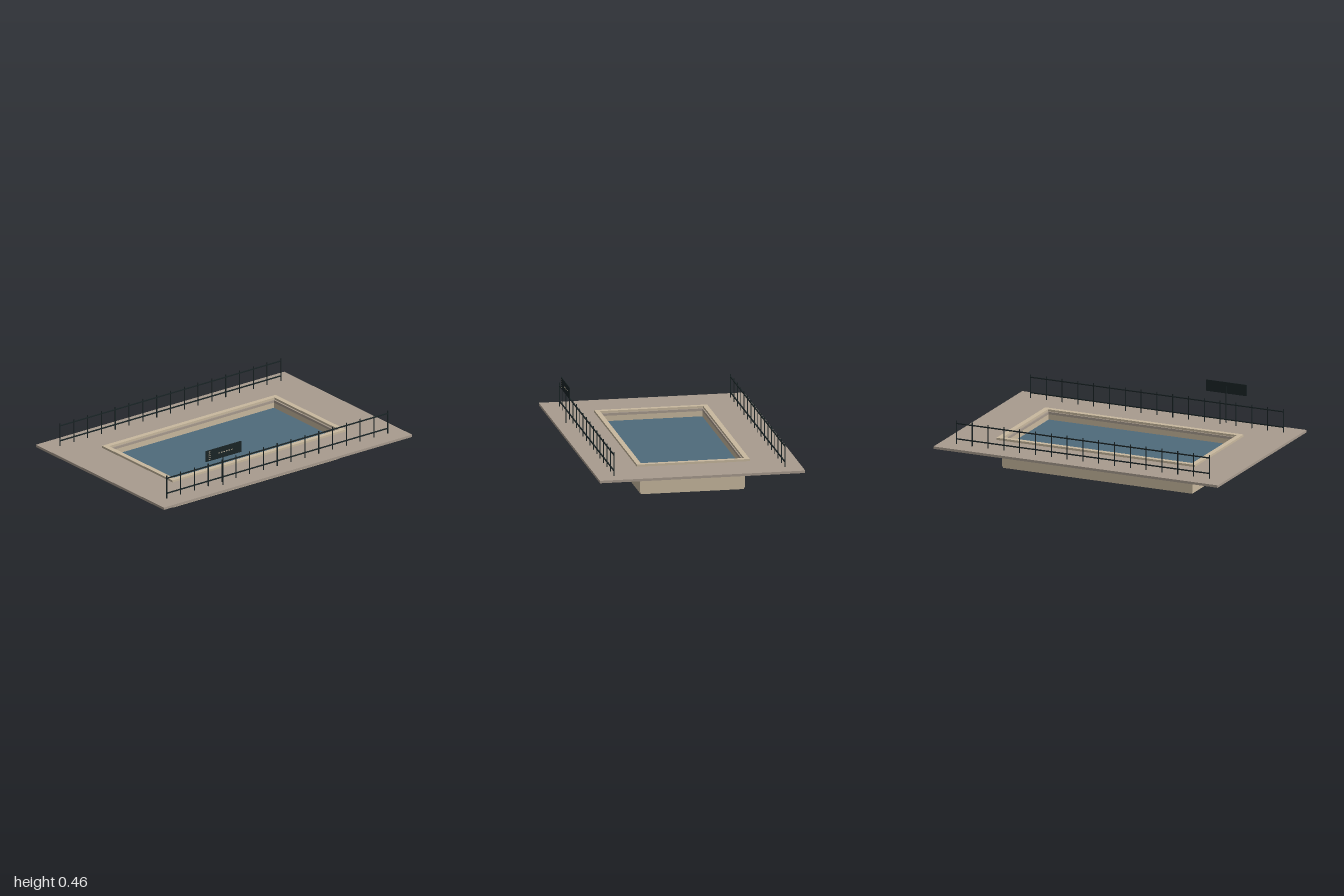
import * as THREE from 'three';

const mat = (name, color, extra = {}) => {
  const m = new THREE.MeshStandardMaterial({ color, ...extra });
  m.name = name;
  return m;
};

export function createModel() {
  const stone = mat('deck stone', 0xa89b8e);
  const sand = mat('sand plaster', 0xc9b99f);
  const water = mat('water blue', 0x4f6b7b);
  const iron = mat('dark iron', 0x1a2426);
  const pale = mat('pale paint', 0xb9ae98);

  const model = new THREE.Group();
  model.name = 'pool';

  const box = (parent, name, material, size, pos) => {
    const mesh = new THREE.Mesh(new THREE.BoxGeometry(...size), material);
    mesh.name = name;
    mesh.position.set(...pos);
    parent.add(mesh);
    return mesh;
  };

  // Flat rectangular frame: half sizes of outer and inner edge, bottom and top height
  const frame = (name, material, [ox, oz], [ix, iz], y0, y1) => {
    const rect = (Kind, x, z) => new Kind([[-x, -z], [x, -z], [x, z], [-x, z]].map(p => new THREE.Vector2(...p)));
    const shape = rect(THREE.Shape, ox, oz);
    shape.holes.push(rect(THREE.Path, ix, iz));
    const geo = new THREE.ExtrudeGeometry(shape, { depth: y1 - y0, bevelEnabled: false });
    geo.rotateX(-Math.PI / 2).translate(0, y0, 0);
    const mesh = new THREE.Mesh(geo, material);
    mesh.name = name;
    model.add(mesh);
  };

  // Deck, raised coping and sunken basin
  frame('deck', stone, [1, 0.667], [0.655, 0.327], 0.175, 0.191);
  frame('coping', sand, [0.698, 0.367], [0.665, 0.335], 0.191, 0.205);
  frame('basinWalls', sand, [0.67, 0.342], [0.655, 0.327], 0.012, 0.175);
  box(model, 'basinFloor', sand, [1.33, 0.012, 0.67], [0, 0.006, 0]);
  box(model, 'water', water, [1.31, 0.008, 0.654], [0, 0.136, 0]);

  // Railings along both long sides
  for (const [name, z] of [['frontRailing', 0.555], ['backRailing', -0.557]]) {
    const railing = new THREE.Group();
    railing.name = name;
    railing.position.z = z;
    model.add(railing);
    for (const y of [0.226, 0.329]) box(railing, 'rail', iron, [1.78, 0.007, 0.007], [0, y, 0]);
    for (let i = 0; i <= 16; i++) {
      box(railing, 'post', iron, [0.005, 0.156, 0.005], [-0.89 + i * 0.11125, 0.269, 0]);
    }
  }

  // Notice board on a single post
  const sign = new THREE.Group();
  sign.name = 'noticeBoard';
  sign.position.set(-0.468, 0, 0.595);
  model.add(sign);
  const post = new THREE.Mesh(new THREE.CylinderGeometry(0.004, 0.004, 0.24, 10), iron);
  post.name = 'boardPost';
  post.position.set(0, 0.311, 0);
  sign.add(post);
  box(sign, 'board', iron, [0.286, 0.075, 0.004], [0, 0.422, 0.004]);

  // Plain painted marks on the board face
  for (let i = 0; i < 5; i++) {
    box(sign, 'sideMark', pale, [0.014, 0.004, 0.001], [-0.113, 0.396 + i * 0.013, 0.0065]);
  }
  for (let i = 0; i < 6; i++) {
    box(sign, 'centreMark', pale, [0.012, 0.006, 0.001], [-0.035 + i * 0.02, 0.422, 0.0065]);
  }

  return model;
}
